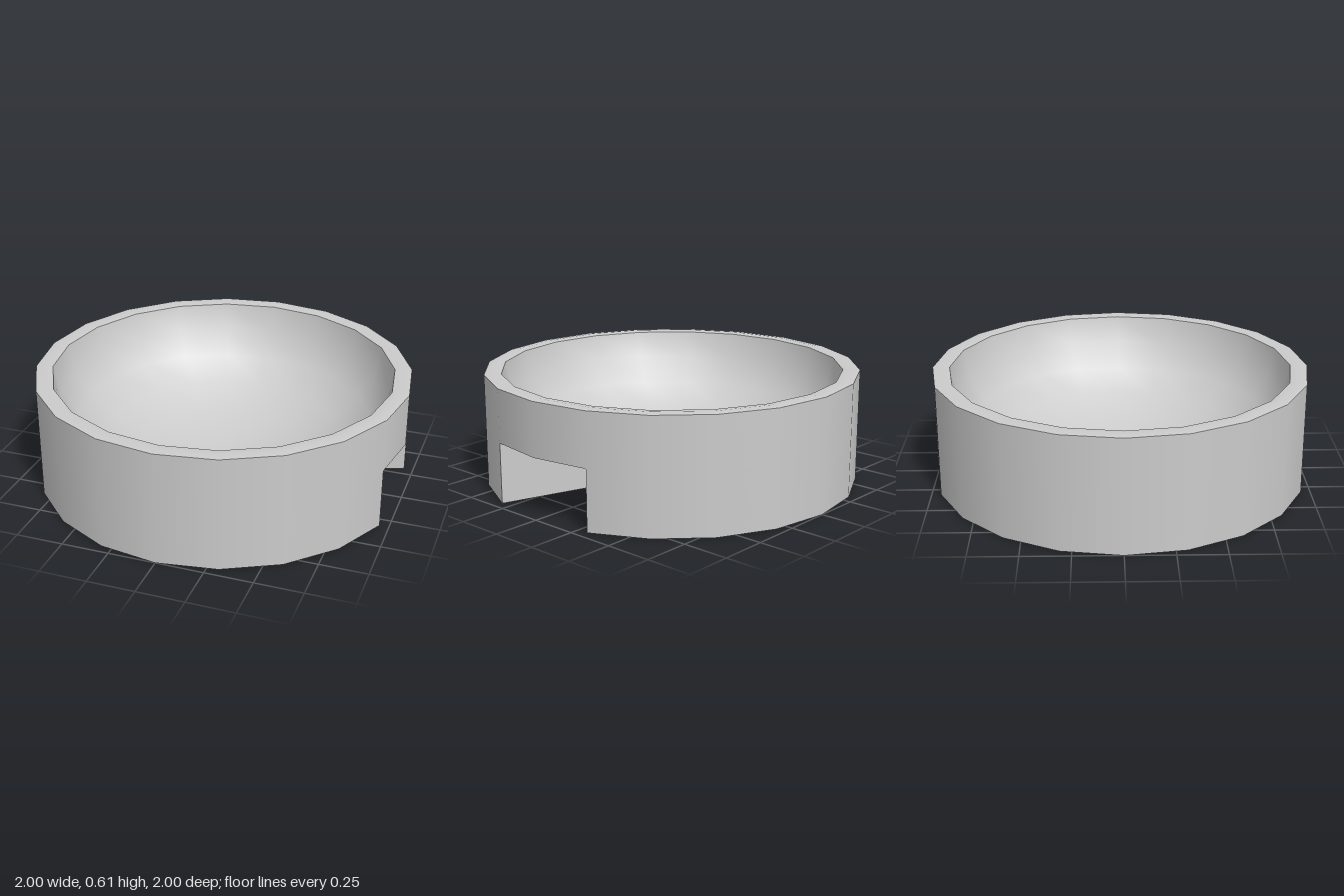
import * as THREE from 'three';

const SIDES = 20;
const STEP = (Math.PI * 2) / SIDES;
const RIM_R = 0.91, RIM_Y = 0.603, DEPTH = 0.555, RINGS = 6;
const NOTCH_Y = 0.32;

const material = new THREE.MeshStandardMaterial({ color: 0xcccccc, side: THREE.DoubleSide });
const flatMaterial = new THREE.MeshStandardMaterial({ color: 0xcccccc, side: THREE.DoubleSide, flatShading: true });

// radius and height of one ring of the bowl, counted from its lowest point
function bowlRing(i) {
  const a = (i / RINGS) * Math.PI / 2;
  return new THREE.Vector2(RIM_R * Math.sin(a), RIM_Y - DEPTH * Math.cos(a));
}

function lathe(name, points, segments = SIDES, start = 0) {
  const geometry = new THREE.LatheGeometry(points, segments, start, segments * STEP);
  const mesh = new THREE.Mesh(geometry, material);
  mesh.name = name;
  return mesh;
}

// point at a radius and height, k sides away from the +x direction
function polar(r, y, k) {
  return [r * Math.cos(k * STEP), y, r * Math.sin(k * STEP)];
}

// flat strip joining two rows of points
function strip(name, rowA, rowB) {
  const position = [];
  for (let i = 0; i < rowA.length - 1; i++) {
    position.push(...rowA[i], ...rowB[i], ...rowB[i + 1], ...rowA[i], ...rowB[i + 1], ...rowA[i + 1]);
  }
  const geometry = new THREE.BufferGeometry();
  geometry.setAttribute('position', new THREE.Float32BufferAttribute(position, 3));
  geometry.computeVertexNormals();
  const mesh = new THREE.Mesh(geometry, flatMaterial);
  mesh.name = name;
  return mesh;
}

export function createModel() {
  const group = new THREE.Group();
  group.name = 'bowl';
  const v = (x, y) => new THREE.Vector2(x, y);

  // outer wall: full band above, lower band open for two sides at +x
  group.add(lathe('upperWall', [v(1, NOTCH_Y), v(1, RIM_Y)]));
  group.add(lathe('lowerWall', [v(1, 0), v(1, NOTCH_Y)], SIDES - 2, Math.PI / 2 + STEP));

  // slightly crowned rim
  group.add(lathe('rim', [v(1, RIM_Y), v(0.955, 0.608), v(RIM_R, RIM_Y)]));

  // rounded dish
  const profile = [];
  for (let i = RINGS; i >= 0; i--) profile.push(bowlRing(i));
  profile[RINGS].x = 0;
  group.add(lathe('dish', profile));

  // tapering channel under the dish
  const channel = new THREE.Group();
  channel.name = 'channel';
  const rings = [1, 2, 3].map(bowlRing);
  const across = [-1, 0, 1];
  const inner = rings[2], tip = rings[0];
  channel.add(strip('channelRoof',
    across.map(k => polar(1, NOTCH_Y, k)),
    across.map(k => polar(inner.x, inner.y, k))));
  channel.add(strip('channelEnd',
    across.map(k => polar(tip.x, 0, k)),
    across.map(k => polar(tip.x, tip.y, k))));
  const edge = [...rings, v(1, NOTCH_Y)];
  for (const side of [-1, 1]) {
    channel.add(strip(side > 0 ? 'channelFrontWall' : 'channelBackWall',
      edge.map(p => polar(p.x, 0, side)),
      edge.map(p => polar(p.x, p.y, side))));
  }
  group.add(channel);
  return group;
}
